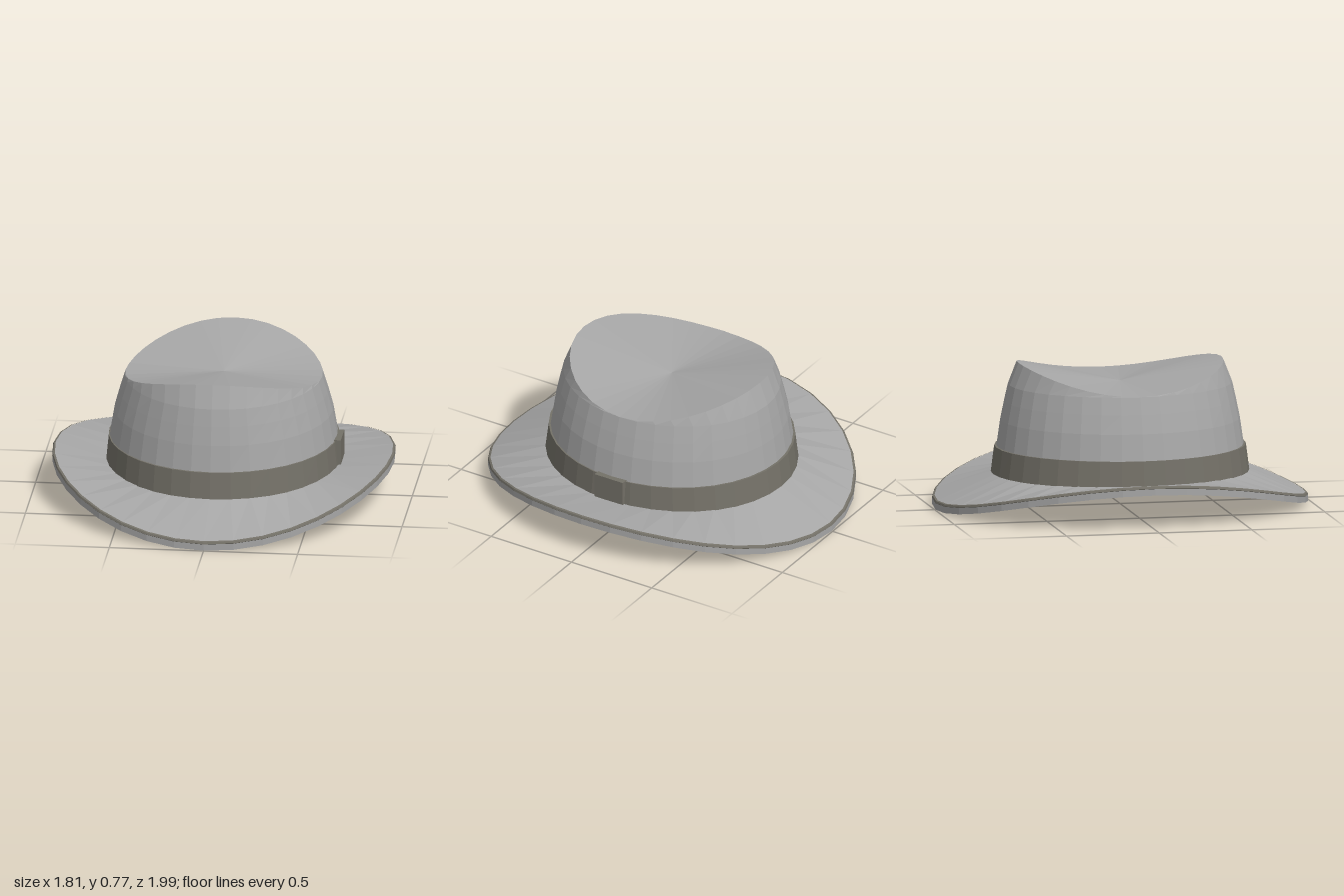
import * as THREE from 'three';

const SIDES = 36;

// Skin over elliptical rings [rx, rz, y]; y is a number or a function of the angle
function loft(rings) {
  const pos = [], idx = [];
  rings.forEach(([rx, rz, y], r) => {
    for (let i = 0; i < SIDES; i++) {
      const a = (i / SIDES) * Math.PI * 2;
      pos.push(rx * Math.cos(a), typeof y === 'function' ? y(a) : y, rz * Math.sin(a));
      if (r === rings.length - 1) continue;
      const p = r * SIDES + i, q = r * SIDES + ((i + 1) % SIDES);
      idx.push(p, p + SIDES, q, q, p + SIDES, q + SIDES);
    }
  });
  const geo = new THREE.BufferGeometry();
  geo.setAttribute('position', new THREE.Float32BufferAttribute(pos, 3));
  geo.setIndex(idx);
  geo.computeVertexNormals();
  return geo;
}

export function createModel() {
  const felt = new THREE.MeshStandardMaterial({ color: 0xa6a6a6, flatShading: true });
  const ribbon = new THREE.MeshStandardMaterial({ color: 0x747168, flatShading: true });
  const hat = new THREE.Group();
  hat.name = 'hat';
  const add = (name, geo, mat) => {
    const mesh = new THREE.Mesh(geo, mat);
    mesh.name = name;
    hat.add(mesh);
    return mesh;
  };

  // Brim edge lifts at the sides and dips at front and back
  const edge = (base) => (a) => base + 0.185 * Math.cos(a) ** 2;
  add('brim', loft([
    [0, 0, 0.18], [0.6, 0.67, 0.18],
    [0.905, 0.995, edge(0)], [0.905, 0.995, edge(0.036)],
    [0.895, 0.985, edge(0.047)], [0.6, 0.66, 0.186],
  ]), felt);

  // Thin binding along the top of the brim edge
  add('brimBinding', loft([
    [0.905, 0.995, edge(0.034)], [0.907, 0.997, edge(0.036)],
    [0.903, 0.993, edge(0.046)], [0.893, 0.983, edge(0.049)],
  ]), ribbon);

  // Crown wall, shoulder rising at front and back
  const rim = (a) => 0.65 + 0.12 * Math.sin(a) ** 2;
  add('crown', loft([
    [0.605, 0.665, 0.18], [0.602, 0.655, 0.32], [0.578, 0.635, 0.46],
    [0.55, 0.615, 0.56], [0.522, 0.595, 0.65], [0.52, 0.548, rim],
  ]), felt);

  // Saddle-shaped dent in the top, sloping to the centre
  const dent = (t) => (a) => 0.66 + (rim(a) - 0.66) * t;
  add('crownDent', loft([1, 0.7, 0.4, 0].map((t) => [0.52 * t, 0.548 * t, dent(t)])), felt);

  // Ribbon band with a small ledge at its top
  add('band', loft([
    [0.622, 0.685, 0.18], [0.608, 0.667, 0.32], [0.597, 0.65, 0.32],
  ]), ribbon);

  // Flat bow on the left side
  add('bow', new THREE.BoxGeometry(0.05, 0.152, 0.175), ribbon).position.set(0.605, 0.25, 0);

  return hat;
}
